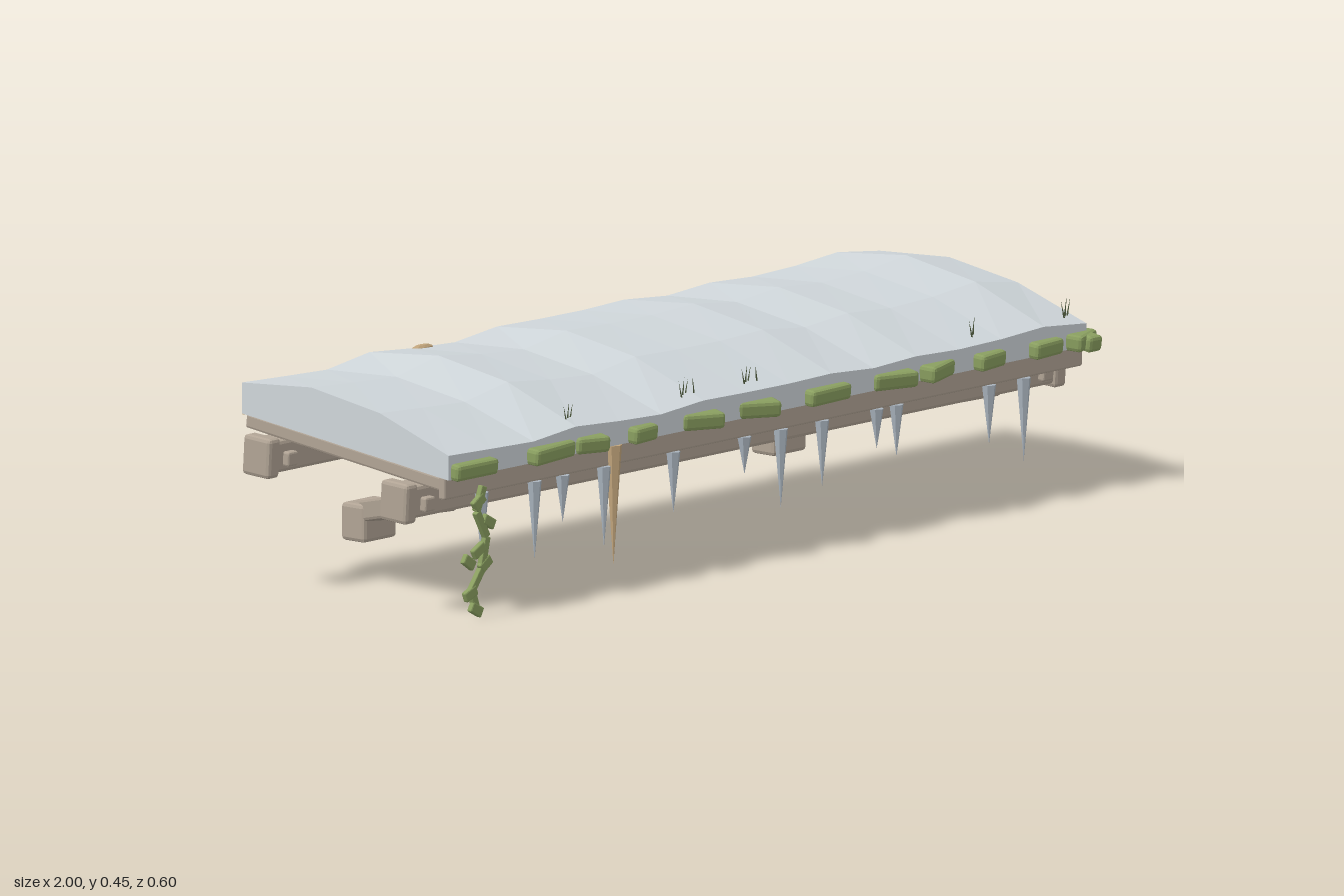
import * as THREE from 'three';
import { RoundedBoxGeometry } from 'three/addons/geometries/RoundedBoxGeometry.js';

const mat = (name, color) => {
  const m = new THREE.MeshStandardMaterial({ color, flatShading: true });
  m.name = name;
  return m;
};

export function createModel() {
  const model = new THREE.Group();
  model.name = 'snowyAwning';
  const wood = mat('weatheredWood', 0xb1a495);
  const snowMat = mat('snow', 0xcfd6da);
  const ice = mat('ice', 0xa9b3bd);
  const tan = mat('tan', 0xc2a57c);
  const moss = mat('moss', 0x8a9f60);
  const grass = mat('darkGrass', 0x4c573c);
  const slope = 0.122;

  const add = (name, geo, material, x, y, z, parent = model) => {
    const m = new THREE.Mesh(geo, material);
    m.name = name;
    m.position.set(x, y, z);
    parent.add(m);
    return m;
  };
  const block = (w, h, d, r = 0.008) => new RoundedBoxGeometry(w, h, d, 1, r);
  // Bar whose length runs from point a to point b
  const bar = (name, a, b, w, h, material, parent) => {
    const p = new THREE.Vector3(...a), q = new THREE.Vector3(...b);
    const m = add(name, block(w, h, p.distanceTo(q), Math.min(w, h) * 0.15), material, 0, 0, 0, parent);
    m.position.copy(p).add(q).multiplyScalar(0.5);
    m.lookAt(q);
    return m;
  };

  // Deck: a row of boards that slopes down to the front
  const boards = 10, pitch = 1.93 / boards;
  for (let i = 0; i < boards; i++) {
    const b = add('deckBoard', block(pitch - 0.02, 0.03, 0.532, 0.005), wood,
      -0.965 + pitch * (i + 0.5), 0.307, -0.032);
    b.rotation.x = slope;
  }
  add('fascia', block(1.93, 0.048, 0.018, 0.004), wood, 0, 0.27, 0.241);

  // Two long beams with collars at the ends and bolts on the front
  for (const [y, z] of [[0.233, 0.141], [0.279, -0.229]]) {
    const beam = new THREE.Group();
    beam.name = 'beam';
    beam.position.set(0, y, z);
    beam.rotation.x = 0.06;
    model.add(beam);
    add('beamBody', block(1.95, 0.068, 0.06), wood, 0, 0, 0, beam);
    for (const s of [-1, 1]) {
      add('beamEnd', block(0.035, 0.083, 0.073), wood, s * 0.9825, 0, 0, beam);
      add('bolt', block(0.03, 0.03, 0.02, 0.004), wood, s * 0.935, -0.005, 0.035, beam);
    }
  }

  // Wall blocks and slanted braces
  for (const s of [-1, 1]) {
    add('wallBlock', block(0.1, 0.078, 0.064), wood, s * 0.62, 0.093, -0.262);
    bar('brace', [s * 0.625, 0.112, -0.262], [s * 0.84, 0.215, 0.14], 0.05, 0.045, wood);
  }

  // Snow: closed cross-sections with a rolling height along x
  const rise = [0.002, -0.006, -0.013, 0.012, -0.003, -0.012, 0.008, 0.004, 0.003,
    0.008, -0.007, 0.005, -0.004, 0.001, 0.015, -0.007];
  const profile = [[0.26, 0.288, 0], [0.26, 0.338, 0.5], [0.075, 0.401, 0.9],
    [-0.11, 0.43, 1], [-0.297, 0.417, 0.7], [-0.297, 0.355, 0]];
  const cols = rise.length, n = profile.length, pos = [], idx = [];
  rise.forEach((r, i) => {
    const x = -0.965 + 1.93 * i / (cols - 1);
    for (const [z, y, f] of profile) pos.push(x, y + r * f, z);
  });
  for (let i = 0; i < cols - 1; i++) for (let j = 0; j < n; j++) {
    const k = (j + 1) % n, a = i * n + j, b = a + n, c = (i + 1) * n + k, d = i * n + k;
    idx.push(a, b, c, a, c, d);
  }
  const last = (cols - 1) * n;
  for (let j = 1; j < n - 1; j++) idx.push(0, j, j + 1, last, last + j + 1, last + j);
  const snowGeo = new THREE.BufferGeometry();
  snowGeo.setAttribute('position', new THREE.Float32BufferAttribute(pos, 3));
  snowGeo.setIndex(idx);
  snowGeo.computeVertexNormals();
  add('snow', snowGeo, snowMat, 0, 0, 0);

  // Tan strip with a wavy top along the back edge
  const strip = new THREE.Shape();
  strip.moveTo(-0.96, 0.352);
  strip.lineTo(0.96, 0.352);
  for (let i = 24; i >= 0; i--) strip.lineTo(-0.96 + 0.08 * i, 0.388 + 0.008 * Math.sin(i * 1.3));
  strip.closePath();
  add('backStrip', new THREE.ExtrudeGeometry(strip, { depth: 0.004, bevelEnabled: false }), tan, 0, 0, -0.3);
  const patch = add('backPatch', new THREE.SphereGeometry(1, 8, 6), tan, -0.43, 0.41, -0.288);
  patch.scale.set(0.035, 0.012, 0.012);

  // Icicles: x, tip height
  const icicle = (x, top, tip, r, material, z) => {
    const m = add('icicle', new THREE.ConeGeometry(r, top - tip, 6), material, x, (top + tip) / 2, z);
    m.rotation.x = Math.PI;
  };
  for (const [x, tip] of [[-0.85, 0.1], [-0.69, 0.085], [-0.605, 0.15], [-0.48, 0.08], [-0.27, 0.12],
    [-0.055, 0.17], [0.055, 0.085], [0.18, 0.11], [0.345, 0.165], [0.405, 0.14], [0.685, 0.125], [0.79, 0.075]])
    icicle(x, 0.247, tip, 0.015, ice, 0.247);
  icicle(-0.457, 0.288, 0.04, 0.018, tan, 0.252);

  // Moss clumps on the front edge: x, width, turn
  for (const [x, w, turn] of [[-0.895, 0.125, 0], [-0.66, 0.135, 0.12], [-0.535, 0.08, -0.25],
    [-0.385, 0.075, 0.1], [-0.2, 0.1, -0.3], [-0.03, 0.1, -0.35], [0.175, 0.125, 0.05], [0.38, 0.11, -0.2],
    [0.51, 0.1, 0.3], [0.665, 0.085, 0.15], [0.835, 0.09, 0.1], [0.945, 0.085, 0.35]]) {
    const m = add('mossClump', block(w, 0.034, 0.06), moss, x, 0.304, 0.25);
    m.rotation.set(0.1, turn, 0);
  }
  const corner = add('cornerMoss', block(0.04, 0.034, 0.1), moss, 0.955, 0.304, 0.247);
  corner.rotation.x = 0.15;
  const side = add('sideMoss', block(0.012, 0.012, 0.24, 0.003), moss, 0.966, 0.319, 0.018);
  side.rotation.x = slope;

  // Hanging vine with small leaves
  const vine = [[-0.87, 0.265], [-0.89, 0.215], [-0.86, 0.16], [-0.875, 0.095], [-0.905, 0.055], [-0.888, 0.008]];
  for (let i = 0; i < vine.length - 1; i++)
    bar('vineStem', [...vine[i], 0.268], [...vine[i + 1], 0.268], 0.012, 0.016, moss);
  for (const [x, y, tilt] of [[-0.885, 0.235, 0.6], [-0.855, 0.19, -0.5], [-0.885, 0.135, 0.5],
    [-0.915, 0.115, -0.6], [-0.865, 0.105, 0.6], [-0.91, 0.05, 0.4], [-0.893, 0.015, -0.5]]) {
    const leaf = add('vineLeaf', block(0.036, 0.022, 0.012, 0.003), moss, x, y, 0.269);
    leaf.rotation.z = tilt;
  }

  // Grass tufts poking through the snow
  for (const [x, blades] of [[-0.565, 3], [-0.21, 4], [-0.02, 4], [0.655, 2], [0.94, 3]])
    for (let i = 0; i < blades; i++) {
      const b = add('grassBlade', new THREE.ConeGeometry(0.003, 0.045, 4), grass,
        x + (i - (blades - 1) / 2) * 0.013, 0.362 + 0.004 * (i % 2), 0.23 - 0.004 * (i % 3));
      b.rotation.set(0.12 * (i % 2), 0, 0.25 * (1 - i % 3));
    }

  return model;
}
